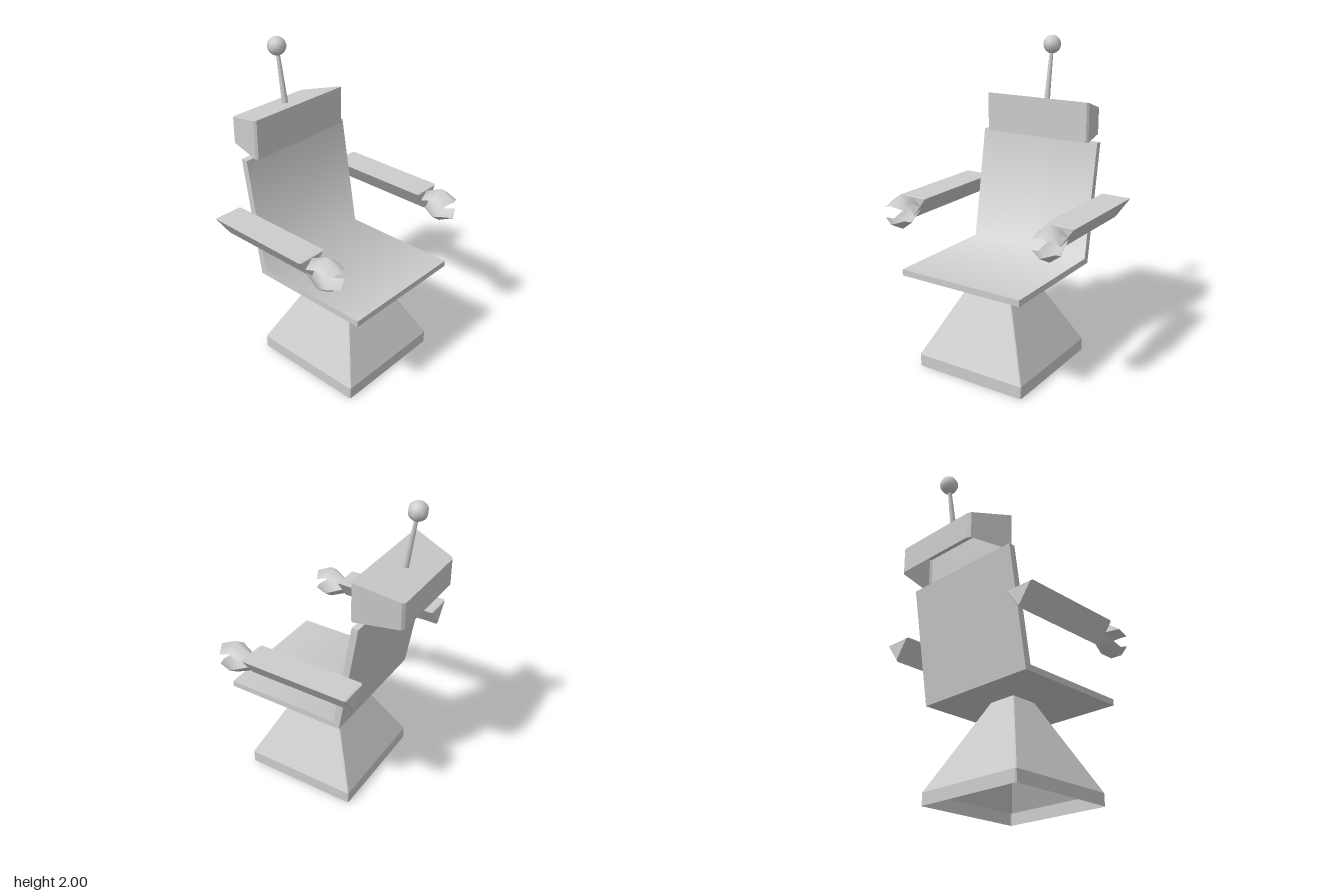
import * as THREE from 'three';

const grey = new THREE.MeshStandardMaterial({ color: 0xcccccc, side: THREE.DoubleSide });
grey.name = 'light grey';

function part(name, geometry, parent) {
  const mesh = new THREE.Mesh(geometry, grey);
  mesh.name = name;
  parent.add(mesh);
  return mesh;
}

const shapeOf = (pts) => new THREE.Shape(pts.map(([x, y]) => new THREE.Vector2(x, y)));

// Skin over rows of [x, y, z] points; closed rows wrap around
function skin(rows, closed) {
  const n = rows[0].length, idx = [];
  for (let r = 0; r < rows.length - 1; r++) {
    for (let k = 0; k < (closed ? n : n - 1); k++) {
      const a = r * n + k, b = r * n + (k + 1) % n;
      idx.push(a, b, b + n, a, b + n, a + n);
    }
  }
  // Closed skins are capped at the last row and left open at the first
  const last = (rows.length - 1) * n;
  if (closed) for (let k = 1; k < n - 1; k++) idx.push(last, last + k, last + k + 1);
  const g = new THREE.BufferGeometry();
  g.setAttribute('position', new THREE.Float32BufferAttribute(rows.flat(2), 3));
  g.setIndex(idx);
  const out = closed ? g.toNonIndexed() : g;
  out.computeVertexNormals();
  return out;
}

// Trapezoid ring with clipped corners: front and back half width, z and height
function ring(wf, zf, yf, wb, zb, yb, c) {
  const corners = [[-wf, yf, zf], [wf, yf, zf], [wb, yb, zb], [-wb, yb, zb]]
    .map((p) => new THREE.Vector3(...p));
  return corners.flatMap((p, i) => [corners[(i + 3) % 4], corners[(i + 1) % 4]].map((q) =>
    q.clone().sub(p).setLength(c).add(p).toArray()));
}
const square = (w, y, z, d) => ring(w, z + d, y, w, z - d, y, 0.006);

export function createModel() {
  const model = new THREE.Group();
  model.name = 'robotChair';

  // Hollow tapered pedestal, open underneath
  part('pedestal', skin([
    square(0.375, 0, 0.105, 0.375),
    square(0.375, 0.078, 0.105, 0.375),
    square(0.092, 0.638, 0.105, 0.092),
  ], true), model);

  // Seat and backrest: one bent sheet
  const sheet = new THREE.ExtrudeGeometry(shapeOf([
    [0.565, 0.631], [0.565, 0.67], [-0.19, 0.67],
    [-0.312, 1.383], [-0.354, 1.383], [-0.228, 0.631],
  ]), { depth: 0.834, bevelEnabled: false });
  sheet.translate(0, 0, -0.417);
  sheet.rotateY(-Math.PI / 2);
  // Shade smoothly across the inner bend
  const { position, normal } = sheet.attributes;
  for (let i = 0; i < position.count; i++) {
    const atBend = Math.hypot(position.getY(i) - 0.67, position.getZ(i) + 0.19) < 0.001;
    if (atBend && Math.abs(normal.getX(i)) < 0.5) normal.setXYZ(i, 0, 0.64, 0.77);
  }
  part('seatAndBackrest', sheet, model);

  // Hollow wedge-shaped headrest, open underneath
  part('headrest', skin([
    ring(0.373, -0.273, 1.385, 0.297, -0.563, 1.385, 0.015),
    ring(0.373, -0.273, 1.632, 0.297, -0.563, 1.552, 0.015),
  ], true), model);

  // Antenna leaning back, with a ball on top
  const antenna = new THREE.Group();
  antenna.name = 'antenna';
  antenna.position.set(0, 1.57, -0.405);
  antenna.rotation.x = -0.16;
  model.add(antenna);
  part('antennaRod', new THREE.CylinderGeometry(0.011, 0.02, 0.36, 8, 1, true), antenna).position.y = 0.18;
  part('antennaBall', new THREE.SphereGeometry(0.058, 8, 10), antenna).position.y = 0.377;

  // Triangular armrests
  const armGeo = new THREE.ExtrudeGeometry(
    shapeOf([[-0.097, 1.048], [0, 0.912], [0.097, 1.048]]),
    { depth: 0.69, bevelEnabled: true, bevelThickness: 0.01, bevelSize: 0.007, bevelOffset: -0.007, bevelSegments: 1 },
  );
  armGeo.translate(0, 0, -0.385);

  // Claw finger: an open ridged shell, rows of inner edge, ridge, inner edge
  const fingerGeo = skin([
    [0.305, 0.055, 0.305, 0.004, 0.05],
    [0.424, 0.113, 0.424, 0.06, 0.073],
    [0.53, 0.058, 0.493, 0.033, 0.073],
  ].map(([zr, yr, ze, ye, w]) => [[w, ye, ze], [0, yr, zr], [-w, ye, ze]]).reverse(), false);

  for (const [side, name] of [[1, 'left'], [-1, 'right']]) {
    const arm = new THREE.Group();
    arm.name = name + 'Arm';
    arm.position.x = side * 0.523;
    model.add(arm);
    part(name + 'Armrest', armGeo, arm);
    part(name + 'UpperFinger', fingerGeo, arm).position.y = 0.981;
    const lower = part(name + 'LowerFinger', fingerGeo, arm);
    lower.position.y = 0.981;
    lower.rotation.z = Math.PI;
  }
  return model;
}
